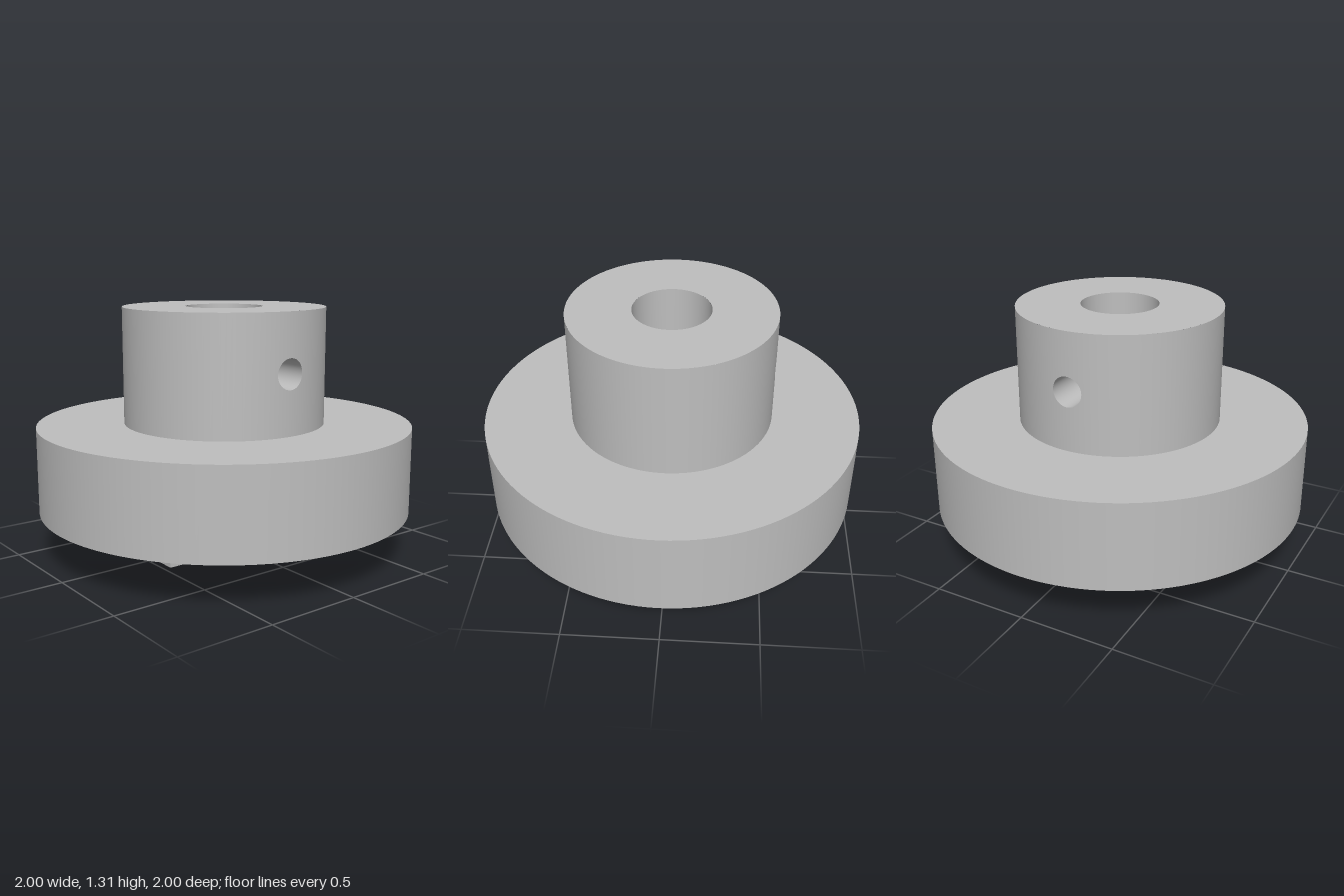
import * as THREE from 'three';

const BASE = 0.235, DECK = 0.692, TOP = 1.31;   // heights of flange underside, flange top, hub top
const HUB_R = 0.538, BORE_R = 0.203;
const PIN_R = 0.079, PIN_Y = 1.004;             // cross hole through the hub

// Surface from a rule (u, v in 0..1) giving [position, normal]; winding follows the normals.
function surface(rule, nu, nv) {
  const pos = [], nor = [], index = [];
  for (let j = 0; j <= nv; j++) {
    for (let i = 0; i <= nu; i++) {
      const [p, n] = rule(i / nu, j / nv);
      pos.push(...p);
      nor.push(...n);
    }
  }
  const at = (k) => new THREE.Vector3().fromArray(pos, 3 * k);
  const facing = at(1).sub(at(0)).cross(at(nu + 1).sub(at(0)));
  const flip = facing.dot(new THREE.Vector3().fromArray(nor, 0)) < 0;
  for (let j = 0; j < nv; j++) {
    for (let i = 0; i < nu; i++) {
      const a = j * (nu + 1) + i, b = a + 1, c = a + nu + 1, d = c + 1;
      index.push(...(flip ? [a, c, b, b, c, d] : [a, b, c, b, d, c]));
    }
  }
  const g = new THREE.BufferGeometry();
  g.setAttribute('position', new THREE.Float32BufferAttribute(pos, 3));
  g.setAttribute('normal', new THREE.Float32BufferAttribute(nor, 3));
  g.setIndex(index);
  return g;
}

// Plain half of a round wall, between the two pierced patches.
function plainWall(R, side, halfWidth) {
  const t0 = Math.asin(halfWidth / R);
  return surface((u, v) => {
    const t = t0 + u * (Math.PI - 2 * t0), c = Math.cos(t), s = Math.sin(t);
    return [[R * c, DECK + v * (TOP - DECK), R * s], [side * c, 0, side * s]];
  }, 48, 1);
}

// Wall patch on +x, spreading from the round hole out to a rectangle.
function piercedWall(R, side, halfWidth) {
  return surface((u, v) => {
    const a = u * Math.PI * 2, c = Math.cos(a), s = Math.sin(a);
    const k = 1 / Math.max(Math.abs(c), Math.abs(s));
    const reach = s > 0 ? TOP - PIN_Y : PIN_Y - DECK;
    const z = THREE.MathUtils.lerp(PIN_R * c, halfWidth * k * c, v);
    const y = PIN_Y + THREE.MathUtils.lerp(PIN_R * s, reach * k * s, v);
    const x = Math.sqrt(R * R - z * z);
    return [[x, y, z], [side * x / R, 0, side * z / R]];
  }, 64, 6);
}

// Lining of the cross hole, from the bore to the outer wall.
function pinHole() {
  return surface((u, v) => {
    const a = u * Math.PI * 2, c = Math.cos(a), s = Math.sin(a), z = PIN_R * c;
    const x = THREE.MathUtils.lerp(Math.sqrt(BORE_R ** 2 - z * z), Math.sqrt(HUB_R ** 2 - z * z), v);
    return [[x, PIN_Y + PIN_R * s, z], [0, -s, -c]];
  }, 64, 1);
}

export function createModel() {
  const model = new THREE.Group();
  model.name = 'shaftCoupling';
  const metal = new THREE.MeshStandardMaterial({ color: 0xbebebe });
  metal.name = 'grey metal';

  const add = (name, geometry, parent = model) => {
    const mesh = new THREE.Mesh(geometry, metal);
    mesh.name = name;
    parent.add(mesh);
    return mesh;
  };

  // Drive tongue under the flange
  add('driveTongue', new THREE.BoxGeometry(0.308, BASE, 0.926)).position.y = BASE / 2;

  // Flange disc; its top also closes the bore
  add('flange', new THREE.CylinderGeometry(1, 1, DECK - BASE, 128)).position.y = (BASE + DECK) / 2;

  // Hub: two mirrored halves, each with one cross hole
  const hub = new THREE.Group();
  hub.name = 'hub';
  model.add(hub);
  const parts = {
    outerWall: plainWall(HUB_R, 1, 0.2),
    outerWallAtHole: piercedWall(HUB_R, 1, 0.2),
    boreWall: plainWall(BORE_R, -1, 0.14),
    boreWallAtHole: piercedWall(BORE_R, -1, 0.14),
    crossHole: pinHole(),
  };
  for (const turn of [0, Math.PI]) {
    const half = new THREE.Group();
    half.name = turn ? 'rightHalf' : 'leftHalf';
    half.rotation.y = turn;
    hub.add(half);
    for (const [name, geometry] of Object.entries(parts)) add(name, geometry, half);
  }

  // Flat annular face on top of the hub
  const face = add('hubTop', new THREE.RingGeometry(BORE_R, HUB_R, 96), hub);
  face.rotation.x = -Math.PI / 2;
  face.position.y = TOP;

  return model;
}
